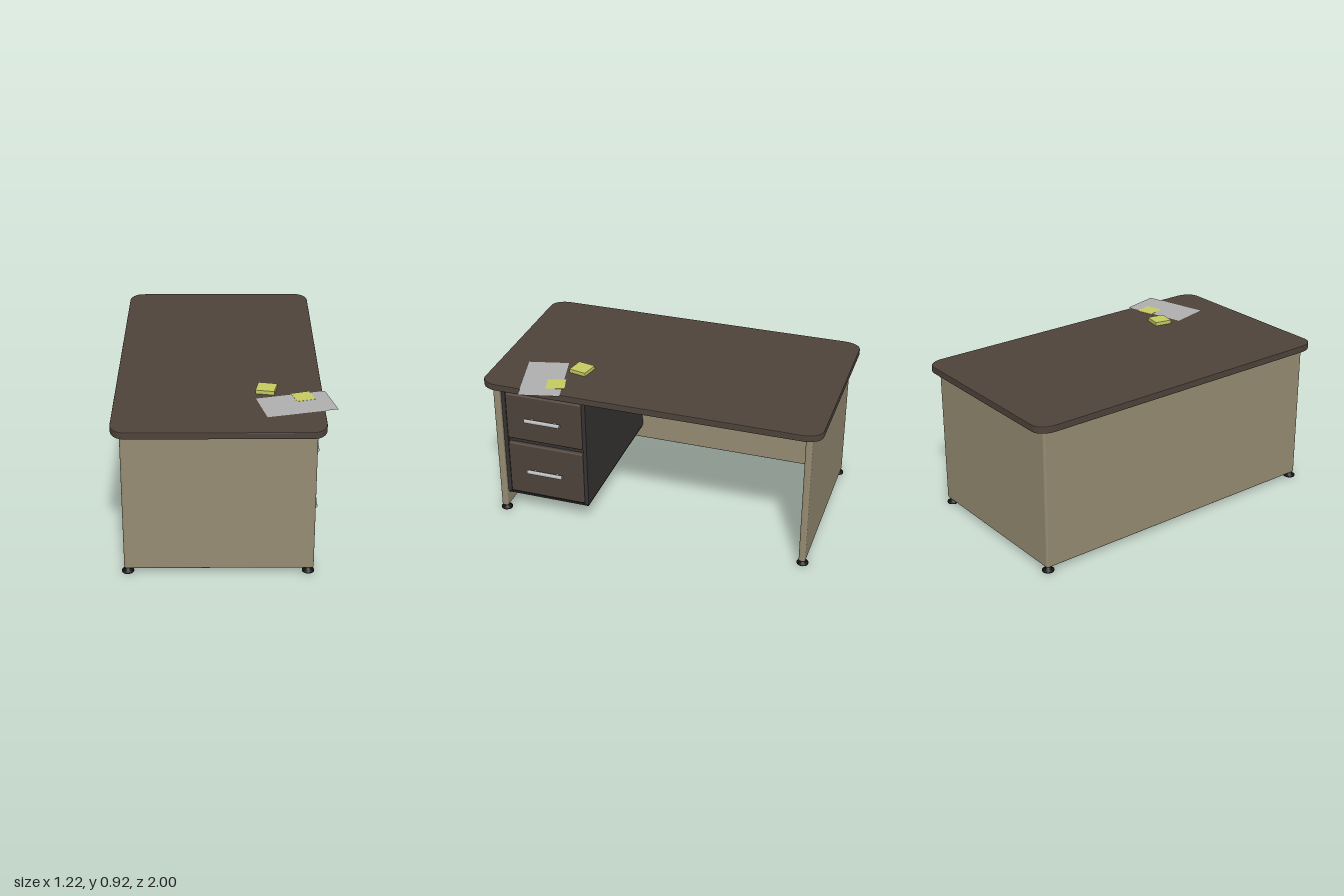
import * as THREE from 'three';
import { RoundedBoxGeometry } from 'three/addons/geometries/RoundedBoxGeometry.js';

const mat = (color, side = THREE.FrontSide) => new THREE.MeshStandardMaterial({ color, side });

export function createModel() {
  const desk = new THREE.Group();
  desk.name = 'desk';
  const tan = mat(0x968c72), brown = mat(0x4f433b), dark = mat(0x383434);
  const black = mat(0x111111), metal = mat(0xb4b6b8), yellow = mat(0xc6cc62);
  const paperGrey = mat(0xb0b0b0, THREE.DoubleSide);

  const add = (name, geometry, material, parent = desk) => {
    const mesh = new THREE.Mesh(geometry, material);
    mesh.name = name;
    parent.add(mesh);
    return mesh;
  };
  // Box given by its limits on each axis, with optional rounded edges
  const box = (name, [x0, x1], [y0, y1], [z0, z1], material, r = 0) => {
    const size = [x1 - x0, y1 - y0, z1 - z0];
    const geometry = r ? new RoundedBoxGeometry(...size, 3, r) : new THREE.BoxGeometry(...size);
    const mesh = add(name, geometry, material);
    mesh.position.set((x0 + x1) / 2, (y0 + y1) / 2, (z0 + z1) / 2);
    return mesh;
  };

  // Tabletop with elliptical corners and a fine bevel
  const b = 0.004, x0 = -0.61 + b, x1 = 0.54 - b, z = 1 - b, rx = 0.075, rz = 0.1;
  const outline = new THREE.Shape();
  outline.absellipse(x1 - rx, z - rz, rx, rz, 0, Math.PI / 2);
  outline.absellipse(x0 + rx, z - rz, rx, rz, Math.PI / 2, Math.PI);
  outline.absellipse(x0 + rx, -z + rz, rx, rz, Math.PI, Math.PI * 1.5);
  outline.absellipse(x1 - rx, -z + rz, rx, rz, Math.PI * 1.5, Math.PI * 2);
  const topGeometry = new THREE.ExtrudeGeometry(outline, {
    depth: 0.04 - 2 * b, bevelEnabled: true, bevelSize: b, bevelThickness: b, bevelSegments: 2, curveSegments: 10,
  });
  topGeometry.rotateX(-Math.PI / 2).translate(0, 0.86 + b, 0);
  add('tabletop', topGeometry, brown);

  // Body: back panel, slab under the top, end panels
  box('backPanel', [-0.56, -0.52], [0.025, 0.862], [-0.93, 0.93], tan, 0.012);
  box('underTopSlab', [-0.53, 0.46], [0.815, 0.861], [-0.91, 0.91], tan);
  for (const s of [-1, 1]) {
    box('endPanel', [-0.56, 0.49], [0.025, 0.862], s > 0 ? [0.905, 0.945] : [-0.945, -0.905], tan, 0.012);
  }

  // Levelling feet
  const footProfile = [[0, 0], [0.034, 0], [0.034, 0.007], [0.019, 0.011], [0.016, 0.03], [0, 0.03]]
    .map(([r, y]) => new THREE.Vector2(r, y));
  for (const x of [-0.54, 0.46]) {
    for (const fz of [-0.925, 0.925]) {
      add('foot', new THREE.LatheGeometry(footProfile, 20), black).position.set(x, 0, fz);
    }
  }

  // Drawer cabinet
  box('drawerCabinet', [-0.52, 0.45], [0.125, 0.816], [0.385, 0.906], dark);
  box('cabinetBase', [-0.52, 0.455], [0.112, 0.126], [0.39, 0.904], mat(0x222020));
  for (const sideZ of [[0.385, 0.408], [0.882, 0.905]]) {
    box('cabinetFrame', [0.44, 0.465], [0.125, 0.815], sideZ, dark);
  }

  // Drawer fronts with bar handles
  for (const [yRange, handleY] of [[[0.512, 0.813], 0.665], [[0.138, 0.482], 0.313]]) {
    box('drawerFront', [0.43, 0.475], yRange, [0.411, 0.879], brown, 0.01);
    const handle = new THREE.Group();
    handle.name = 'drawerHandle';
    handle.position.set(0.502, handleY, 0.642);
    desk.add(handle);
    add('handleBar', new THREE.CylinderGeometry(0.0125, 0.0125, 0.22, 16).rotateX(Math.PI / 2), metal, handle);
    for (const pz of [-0.07, 0.07]) {
      add('handlePost', new THREE.CylinderGeometry(0.006, 0.006, 0.035, 10).rotateZ(Math.PI / 2), metal, handle)
        .position.set(-0.017, 0, pz);
    }
  }

  // Paper sheet and sticky notes on the top
  const sheet = add('paperSheet', new THREE.PlaneGeometry(0.397, 0.237).rotateX(-Math.PI / 2), paperGrey);
  sheet.position.set(0.39, 0.9015, 0.662);
  sheet.rotation.y = 0.242;
  const note = add('stickyNote', new THREE.BoxGeometry(0.107, 0.001, 0.107), yellow);
  note.position.set(0.43, 0.903, 0.57);
  note.rotation.y = 0.28;
  const pad = add('stickyNotePad', new THREE.BoxGeometry(0.106, 0.022, 0.106), yellow);
  pad.position.set(0.23, 0.911, 0.488);
  pad.rotation.y = -0.2;

  return desk;
}
